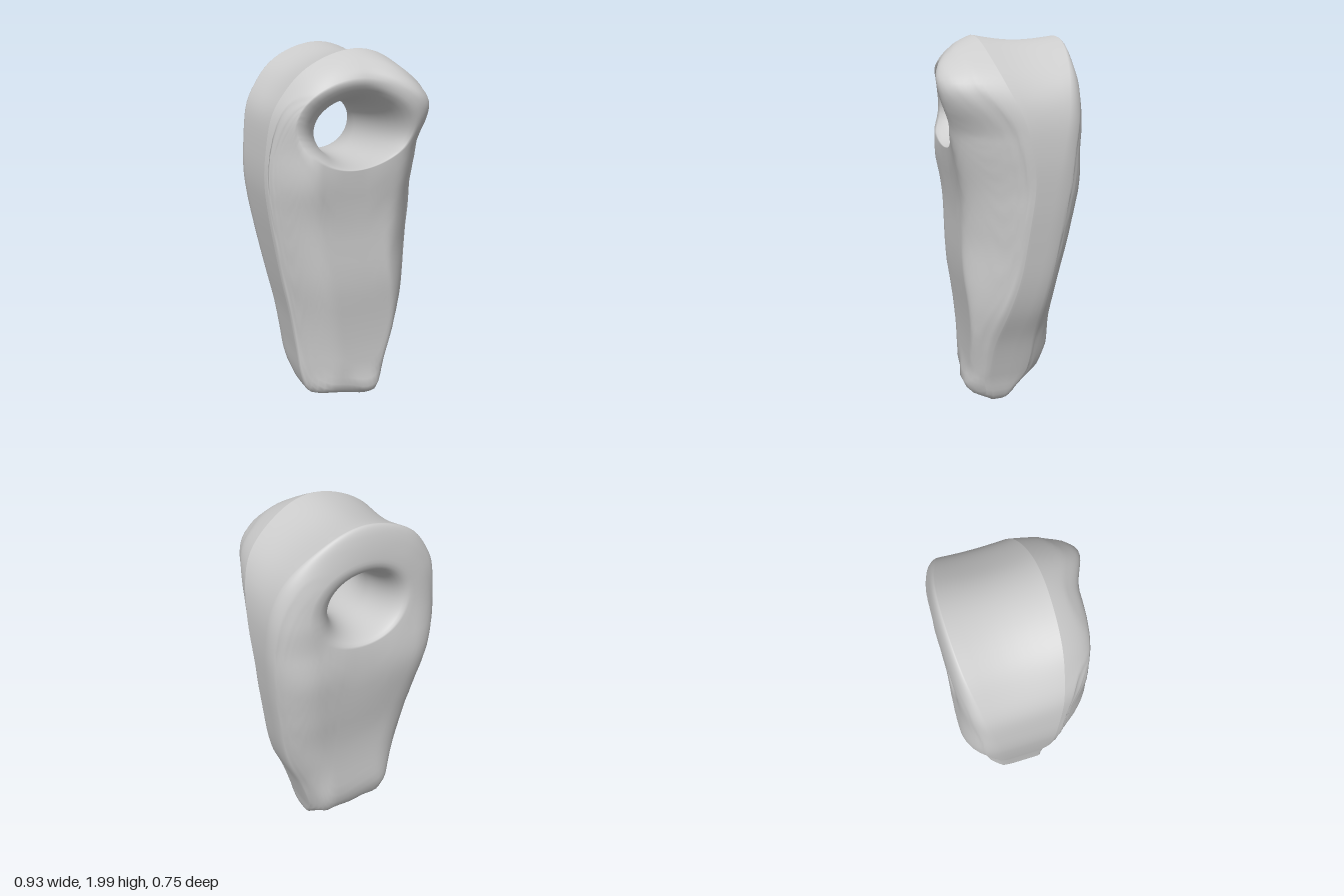
import * as THREE from 'three';

const { lerp, smoothstep, clamp } = THREE.MathUtils;

// Piecewise-linear lookup in [height, value] pairs, heights ascending
function lookup(table, y) {
  if (y <= table[0][0]) return table[0][1];
  for (let i = 1; i < table.length; i++) {
    const [y0, v0] = table[i - 1], [y1, v1] = table[i];
    if (y <= y1) return lerp(v0, v1, (y - y0) / (y1 - y0));
  }
  return table[table.length - 1][1];
}

// Lookup softened over neighbouring heights
function sample(table, y) {
  const w = 0.08 * smoothstep(y, 0.15, 0.5);
  return [-1, -0.5, 0, 0.5, 1].reduce((sum, k) => sum + lookup(table, y + k * w), 0) / 5;
}

// Depth of the front and back faces by height
const FRONT = [[0, 0.1], [0.07, 0.19], [0.14, 0.22], [0.22, 0.2], [0.4, 0.2], [0.6, 0.215], [0.8, 0.24],
  [1, 0.235], [1.2, 0.235], [1.4, 0.28], [1.6, 0.335], [1.72, 0.37], [1.82, 0.39], [2, 0.38]];
const BACK = [[0, 0], [0.05, -0.05], [0.1, -0.09], [0.2, -0.21], [0.33, -0.265], [0.6, -0.26], [0.8, -0.275],
  [1, -0.32], [1.2, -0.37], [1.3, -0.378], [1.4, -0.365], [1.6, -0.345], [1.8, -0.355], [2, -0.36]];
// Depth where the faces have rolled over to the side walls
const FRONT_EDGE_L = [[0, 0.06], [0.15, 0.06], [0.5, 0.05], [1.4, 0.06], [1.7, 0.09], [2, 0.14]];
const FRONT_EDGE_R = [[0, 0.06], [0.2, 0.1], [0.4, 0.09], [0.8, -0.01], [1.3, -0.06], [1.6, 0], [1.8, 0.1], [2, 0.14]];
const BACK_EDGE_L = [[0, 0.01], [0.12, -0.04], [0.3, -0.12], [1, -0.18], [1.5, -0.22], [1.8, -0.27], [2, -0.32]];
const BACK_EDGE_R = [[0, 0.01], [0.12, -0.01], [0.4, -0.04], [0.8, -0.12], [1.3, -0.17], [1.8, -0.25], [2, -0.32]];

// Silhouette, counter-clockwise from the top
const OUTLINE = [[0, 2], [-0.15, 1.97], [-0.28, 1.9], [-0.37, 1.8], [-0.425, 1.7], [-0.458, 1.5], [-0.464, 1.35],
  [-0.45, 1.2], [-0.42, 1], [-0.385, 0.8], [-0.345, 0.6], [-0.315, 0.4], [-0.285, 0.2], [-0.24, 0.1],
  [-0.05, 0.04], [0.08, 0.005], [0.16, 0.035], [0.2, 0.18], [0.265, 0.4], [0.345, 0.6], [0.385, 0.75],
  [0.425, 1], [0.45, 1.2], [0.465, 1.42], [0.455, 1.6], [0.42, 1.72], [0.365, 1.81], [0.25, 1.91], [0.12, 1.98]];

// Hole openings: centre x, centre y, radius x, radius y
const FRONT_RIM = [-0.05, 1.645, 0.3, 0.22];
const THROAT = [-0.015, 1.58, 0.14, 0.14];
const BACK_RIM = [0.02, 1.61, 0.27, 0.22];
const THROAT_Z = -0.1;

const onRim = ([cx, cy, rx, ry], a) => new THREE.Vector2(cx + rx * Math.cos(a), cy + ry * Math.sin(a));

function buildBody() {
  const U = 144, FACE = 20, WALL = 8, FUNNEL = 9;
  const curve = new THREE.CatmullRomCurve3(OUTLINE.map(([x, y]) => new THREE.Vector3(x, y, 0)), true);
  const edge = curve.getSpacedPoints(U).slice(0, U).map((p) => new THREE.Vector2(p.x, p.y));

  // Front depth: a broad bevel on the +x side, a softer one on the -x side
  function frontDepth(p, d) {
    const side = smoothstep(p.x, -0.1, 0.2);
    const top = smoothstep(p.y, 1.5, 1.8);
    const raised = smoothstep(p.y, 1.3, 1.75);
    const face = sample(FRONT, p.y) - 0.09 * raised * (1 - smoothstep(p.x, -0.02, 0.25));
    const rollL = lerp(0.09, lerp(0.22, 0.17, top), smoothstep(p.y, 0, 0.25));
    const rollR = lerp(0.07, lerp(0.27, 0.14, top), smoothstep(p.y, 0.35, 1));
    const start = lerp(sample(FRONT_EDGE_L, p.y), sample(FRONT_EDGE_R, p.y), side);
    const t = 1 - clamp(d / lerp(rollL, rollR, side), 0, 1);
    return lerp(start, face, 1 - t ** lerp(lerp(2, 1.6, side), 2.5, top));
  }

  // Back depth: rounded into the side walls, a little flatter towards +x
  function backDepth(p, d) {
    const side = smoothstep(p.x, -0.1, 0.2);
    const flat = 0.02 * smoothstep(p.x, -0.25, 0.1) * smoothstep(p.y, 0.9, 1.2) * (1 - smoothstep(p.y, 1.4, 1.6));
    const roll = lerp(0.08, lerp(0.18, 0.2, side), smoothstep(p.y, 0.1, 0.6));
    const start = lerp(sample(BACK_EDGE_L, p.y), sample(BACK_EDGE_R, p.y), side);
    const t = 1 - clamp(d / roll, 0, 1);
    return lerp(start, sample(BACK, p.y) + flat, Math.sqrt(1 - t * t));
  }

  function depth(p, front) {
    const d = Math.min(...edge.map((e) => e.distanceTo(p)));
    return front ? frontDepth(p, d) : backDepth(p, d);
  }

  const positions = [];
  let V = 0;
  for (let i = 0; i < U; i++) {
    const e = edge[i];
    const turn = i === 0 ? 0 : (Math.atan2(e.y - 1.6, e.x) - Math.PI / 2 + Math.PI * 4) % (Math.PI * 2);
    const a = Math.PI / 2 + lerp(turn, (i / U) * Math.PI * 2, 0.35);
    const rimF = onRim(FRONT_RIM, a), rimB = onRim(BACK_RIM, a), throat = onRim(THROAT, a);
    const loop = [];
    const add = (p, z) => loop.push([p.x, p.y, z]);

    // Front face, from the hole out to the silhouette
    for (let j = 0; j <= FACE; j++) {
      const p = rimF.clone().lerp(e, 1 - (1 - j / FACE) ** 2);
      add(p, depth(p, true));
    }
    // Side wall, slightly hollow around the top
    const zF = depth(e, true), zB = depth(e, false);
    const inward = new THREE.Vector2(-e.x, 1.6 - e.y).normalize();
    for (let j = 1; j < WALL; j++) {
      const s = j / WALL;
      const dip = 0.022 * Math.sin(Math.PI * s) * smoothstep(e.y, 1.65, 1.95);
      add(e.clone().addScaledVector(inward, dip), lerp(zF, zB, s));
    }
    // Back face, from the silhouette in to the hole
    for (let j = FACE; j >= 0; j--) {
      const p = rimB.clone().lerp(e, 1 - (1 - j / FACE) ** 2);
      add(p, depth(p, false));
    }
    // Hole: narrowing to the throat, then flaring to the front
    const zRimB = depth(rimB, false), zRimF = depth(rimF, true);
    for (let j = FUNNEL - 1; j >= 0; j--) {
      const s = j / FUNNEL;
      add(throat.clone().lerp(rimB, s ** 1.7), lerp(THROAT_Z, zRimB, Math.sin(s * Math.PI / 2)));
    }
    for (let j = 1; j < FUNNEL; j++) {
      const s = j / FUNNEL;
      add(throat.clone().lerp(rimF, s ** 1.5), lerp(THROAT_Z, zRimF, Math.sin(s * Math.PI / 2)));
    }
    V = loop.length;
    positions.push(...loop.flat());
  }

  // Join neighbouring loops into a closed ring
  const index = [];
  for (let i = 0; i < U; i++) {
    for (let j = 0; j < V; j++) {
      const i2 = (i + 1) % U, j2 = (j + 1) % V;
      const a = i * V + j, b = i * V + j2, c = i2 * V + j2, d = i2 * V + j;
      index.push(a, b, c, a, c, d);
    }
  }
  const geometry = new THREE.BufferGeometry();
  geometry.setAttribute('position', new THREE.Float32BufferAttribute(positions, 3));
  geometry.setIndex(index);
  geometry.computeVertexNormals();
  return geometry;
}

export function createModel() {
  const group = new THREE.Group();
  group.name = 'piercedPendant';
  const body = new THREE.Mesh(buildBody(), new THREE.MeshStandardMaterial({ color: 0xcccccc }));
  body.name = 'piercedBody';
  group.add(body);
  return group;
}
